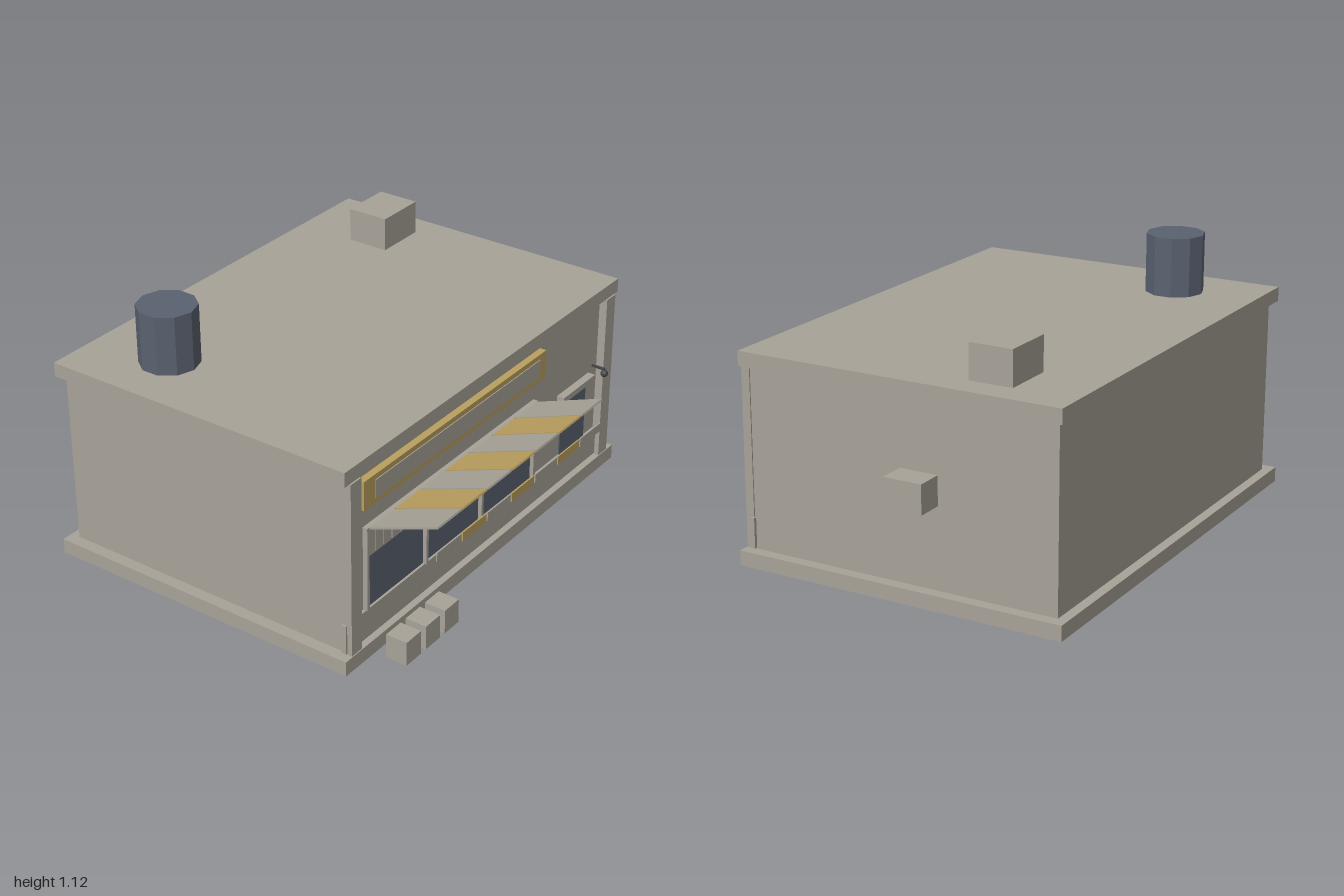
import * as THREE from 'three';

const mat = (name, color) => {
  const m = new THREE.MeshStandardMaterial({ color });
  m.name = name;
  return m;
};

export function createModel() {
  const group = new THREE.Group();
  const grey = mat('warm grey', 0xa8a398);
  const gold = mat('gold', 0xba9f60);
  const blue = mat('slate blue', 0x5a6270);
  const dark = mat('dark metal', 0x45464a);

  const add = (name, geometry, material) => {
    const mesh = new THREE.Mesh(geometry, material);
    mesh.name = name;
    group.add(mesh);
    return mesh;
  };
  // Box given by its lower and upper limits on each axis
  const box = (name, m, x0, x1, y0, y1, z0, z1) => {
    const mesh = add(name, new THREE.BoxGeometry(x1 - x0, y1 - y0, z1 - z0), m);
    mesh.position.set((x0 + x1) / 2, (y0 + y1) / 2, (z0 + z1) / 2);
    return mesh;
  };

  // Building shell
  box('base', grey, -1, 0.935, 0, 0.063, -0.848, 0.568);
  box('walls', grey, -0.95, 0.887, 0.063, 0.81, -0.807, 0.529);
  box('roofSlab', grey, -0.983, 0.92, 0.808, 0.868, -0.834, 0.557);
  box('frontPlinth', grey, -0.965, 0.9, 0.068, 0.193, 0.522, 0.543);
  box('leftPilaster', grey, 0.825, 0.892, 0.063, 0.808, 0.527, 0.564);
  box('rightPilaster', grey, -0.957, -0.893, 0.063, 0.808, 0.527, 0.564);

  // Rooftop and side equipment
  const tank = add('roofTank', new THREE.CylinderGeometry(0.122, 0.122, 0.247, 10).toNonIndexed(), blue);
  tank.geometry.computeVertexNormals();
  tank.position.set(-0.713, 0.9915, -0.48);
  box('roofUnit', grey, 0.577, 0.802, 0.868, 1.012, -0.57, -0.386);
  box('wallUnit', grey, 0.885, 1, 0.397, 0.517, -0.305, -0.143);

  // Sign board with an inset face
  box('signBoard', gold, -0.87, 0.36, 0.652, 0.775, 0.527, 0.559);
  box('signFace', grey, -0.802, 0.312, 0.675, 0.753, 0.557, 0.563);

  // Three shop windows with hanging strips across their tops
  for (let i = 0; i < 3; i++) {
    const x = -0.825 + i * 0.3835;
    box('windowPane', blue, x, x + 0.37, 0.193, 0.548, 0.527, 0.533);
    for (let j = 0; j < 7; j++) {
      const sx = x + j * 0.053;
      box('hangingStrip', grey, sx, sx + 0.048, 0.42, 0.55, 0.533, 0.539);
    }
  }
  for (let i = 0; i < 4; i++) {
    const x = -0.832 + i * 0.3835;
    box('windowPost', grey, x - 0.007, x + 0.007, 0.193, 0.555, 0.527, 0.55);
  }
  box('windowHead', grey, -0.84, 0.325, 0.545, 0.557, 0.527, 0.55);

  // Awning slats rising outward, each with a hanging flap at the front
  const rise = 0.12, run = 0.317;
  for (let i = 0; i < 7; i++) {
    const x = -0.827 + i * 0.1642;
    const m = i % 2 ? gold : grey;
    const slat = add('awningSlat', new THREE.BoxGeometry(0.156, 0.008, Math.hypot(rise, run)), m);
    slat.position.set(x + 0.078, 0.606, 0.69);
    slat.rotation.x = -Math.atan2(rise, run);
    box('awningFlap', m, x, x + 0.156, 0.525, 0.562, 0.843, 0.849);
  }

  // Side door, its ledge and lamp
  box('doorPanel', blue, 0.54, 0.735, 0.193, 0.46, 0.527, 0.535);
  box('doorLedge', grey, 0.512, 0.76, 0.46, 0.486, 0.527, 0.563);
  box('lampArm', dark, 0.785, 0.795, 0.503, 0.512, 0.527, 0.59);
  const lamp = add('lampGlobe', new THREE.SphereGeometry(0.016, 12, 8), dark);
  lamp.position.set(0.79, 0.488, 0.589);

  // Crates out front
  for (let i = 0; i < 3; i++) {
    const x = -0.885 + i * 0.1245;
    box('crate', grey, x, x + 0.092, 0.063, 0.166, 0.668, 0.76);
  }
  return group;
}
